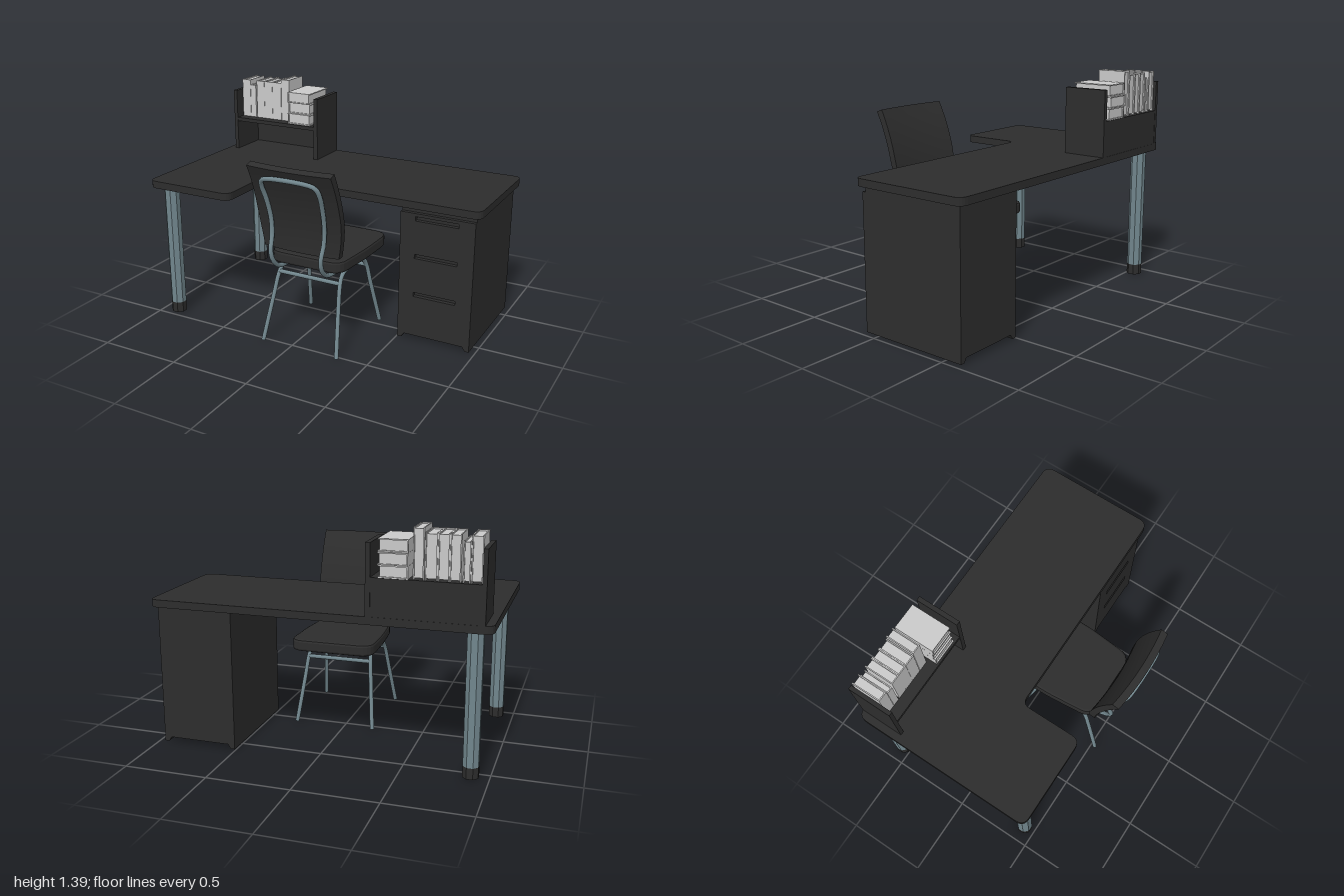
import * as THREE from 'three';

const black = new THREE.MeshStandardMaterial({ color: 0x2d2d2d });
black.name = 'black';
const steel = new THREE.MeshStandardMaterial({ color: 0x71868d, side: THREE.DoubleSide });
steel.name = 'steel';
const paper = new THREE.MeshStandardMaterial({ color: 0xcacaca });
paper.name = 'paper';

function add(parent, name, geometry, material) {
  const mesh = new THREE.Mesh(geometry, material);
  mesh.name = name;
  parent.add(mesh);
  return mesh;
}

// Box given by its lower and upper corners
function box(parent, name, material, [x0, y0, z0], [x1, y1, z1]) {
  const g = new THREE.BoxGeometry(x1 - x0, y1 - y0, z1 - z0);
  g.translate((x0 + x1) / 2, (y0 + y1) / 2, (z0 + z1) / 2);
  return add(parent, name, g, material);
}

// Polygon whose corners [x, y, radius] are rounded
function roundedShape(corners) {
  const shape = new THREE.Shape();
  const n = corners.length;
  corners.forEach(([x, y, r], i) => {
    const c = new THREE.Vector2(x, y);
    const toward = (j) => new THREE.Vector2(corners[j][0], corners[j][1]).sub(c).setLength(r).add(c);
    const a = toward((i + n - 1) % n), b = toward((i + 1) % n);
    if (i === 0) shape.moveTo(a.x, a.y); else shape.lineTo(a.x, a.y);
    shape.quadraticCurveTo(x, y, b.x, b.y);
  });
  shape.closePath();
  return shape;
}

// Horizontal slab from a plan outline in x and z, between two heights
function slab(corners, y0, y1, bevel = 0) {
  const g = new THREE.ExtrudeGeometry(roundedShape(corners), {
    depth: y1 - y0 - 2 * bevel, curveSegments: 5, bevelEnabled: bevel > 0,
    bevelSize: bevel, bevelThickness: bevel, bevelOffset: -bevel, bevelSegments: 2,
  });
  return g.rotateX(Math.PI / 2).translate(0, y1 - bevel, 0);
}

function tube(parent, name, points, radius, segments = 28) {
  const curve = new THREE.CatmullRomCurve3(points.map((p) => new THREE.Vector3(...p)), false, 'centripetal');
  return add(parent, name, new THREE.TubeGeometry(curve, segments, radius, 8), steel);
}

function makeDesk() {
  const desk = new THREE.Group();
  desk.name = 'desk';
  add(desk, 'deskTop', slab([
    [-1, -0.64, 0.055], [1, -0.64, 0.055], [1, 0.115, 0.055],
    [-0.415, 0.115, 0.05], [-0.415, 0.515, 0.055], [-1, 0.515, 0.055],
  ], 0.845, 0.89), black);

  // Octagonal legs with dark feet
  for (const z of [0.43, -0.55]) {
    for (const [name, y0, y1, mat] of [['deskLeg', 0.067, 0.845, steel], ['deskFoot', 0, 0.067, black]]) {
      let g = new THREE.CylinderGeometry(0.048, 0.048, y1 - y0, 8);
      g.rotateY(Math.PI / 8).translate(-0.895, (y0 + y1) / 2, z);
      g = g.toNonIndexed();
      g.computeVertexNormals();
      add(desk, name, g, mat);
    }
  }
  return desk;
}

function makeCabinet() {
  const cabinet = new THREE.Group();
  cabinet.name = 'drawerCabinet';
  const outline = (top) => new THREE.Shape([
    [0.505, 0], [0.53, 0], [0.548, 0.027], [0.922, 0.027], [0.94, 0], [0.965, 0], [0.965, top], [0.505, top],
  ].map((p) => new THREE.Vector2(...p)));

  const body = new THREE.ExtrudeGeometry(outline(0.845), { depth: 0.67, bevelEnabled: false });
  add(cabinet, 'cabinetBody', body.translate(0, 0, -0.605), black);

  // Front with recessed pulls
  const front = outline(0.81);
  for (const y of [0.275, 0.52, 0.755]) {
    front.holes.push(new THREE.Path([
      [0.6, y], [0.6, y + 0.036], [0.865, y + 0.036], [0.865, y],
    ].map((p) => new THREE.Vector2(...p))));
    box(cabinet, 'drawerPull', black, [0.6, y, 0.065], [0.865, y + 0.01, 0.092]);
  }
  const panel = new THREE.ExtrudeGeometry(front, { depth: 0.025, bevelEnabled: false });
  add(cabinet, 'drawerFront', panel.translate(0, 0, 0.065), black);
  return cabinet;
}

function makeBook(w, h, d) {
  // Upright book: spine at the front, pages set back from the covers
  const book = new THREE.Group();
  book.name = 'book';
  const t = 0.007, inset = 0.008;
  box(book, 'cover', paper, [0, 0, 0], [t, h, d]);
  box(book, 'cover', paper, [w - t, 0, 0], [w, h, d]);
  box(book, 'spine', paper, [t, 0, d - t], [w - t, h, d]);
  box(book, 'pages', paper, [t, inset, inset], [w - t, h - inset, d - t]);
  return book;
}

function makeShelf() {
  const shelf = new THREE.Group();
  shelf.name = 'bookShelf';
  box(shelf, 'shelfSide', black, [-0.955, 0.89, -0.64], [-0.93, 1.295, -0.365]);
  box(shelf, 'shelfSide', black, [-0.333, 0.89, -0.64], [-0.305, 1.295, -0.365]);
  box(shelf, 'shelfBoard', black, [-0.93, 1.083, -0.635], [-0.333, 1.107, -0.368]);
  box(shelf, 'shelfBack', black, [-0.93, 0.89, -0.638], [-0.333, 1.107, -0.615]);

  // Standing books: left edge, width, height
  for (const [x, w, h] of [
    [-0.929, 0.062, 0.253], [-0.865, 0.041, 0.22], [-0.815, 0.06, 0.253],
    [-0.754, 0.062, 0.253], [-0.691, 0.068, 0.253], [-0.62, 0.06, 0.278],
  ]) {
    const book = makeBook(w, h, 0.183);
    book.position.set(x, 1.107, -0.62);
    shelf.add(book);
  }
  // Lying books, spines toward -x
  [[0, -0.635], [0.071, -0.645], [0.142, -0.635]].forEach(([y, z]) => {
    const book = makeBook(0.07, 0.255, 0.165);
    // Local axes: width up, height along z, depth toward -x
    book.matrix.makeBasis(
      new THREE.Vector3(0, 1, 0), new THREE.Vector3(0, 0, 1), new THREE.Vector3(1, 0, 0));
    book.matrix.decompose(book.position, book.quaternion, book.scale);
    book.rotateY(0);
    const holder = new THREE.Group();
    holder.name = 'lyingBook';
    holder.add(book);
    // Half turn about the vertical puts the spine on the other side
    holder.rotation.y = Math.PI;
    holder.position.set(-0.373, 1.107 + y, z + 0.255);
    shelf.add(holder);
  });
  return shelf;
}

function makeChair() {
  const chair = new THREE.Group();
  chair.name = 'chair';
  chair.position.x = 0.063;

  add(chair, 'seat', slab([
    [-0.265, -0.14, 0.09], [0.265, -0.14, 0.09], [0.262, 0.15, 0.05],
    [0.235, 0.455, 0.08], [-0.235, 0.455, 0.08], [-0.262, 0.15, 0.05],
  ], 0.495, 0.568, 0.015), black);

  // Backrest: a box bent back toward the top and wrapped around the sitter
  const g = new THREE.BoxGeometry(2, 1, 0.042, 8, 10, 1);
  const p = g.attributes.position;
  for (let i = 0; i < p.count; i++) {
    const u = p.getX(i), t = p.getY(i) + 0.5, s = p.getZ(i);
    const half = 0.245 + 0.027 * Math.sin(Math.min(1, t * 2) * Math.PI / 2) - 0.005 * t * t;
    p.setXYZ(i, u * half, 0.61 + 0.525 * t - 0.35 * s * t, 0.485 + 0.137 * t * t + s - 0.02 * u * u);
  }
  g.computeVertexNormals();
  add(chair, 'backrest', g, black);

  // Back hoop: one side listed from under the seat upward, then mirrored
  const side = [
    [0.16, 0.475, 0.2], [0.16, 0.476, 0.4], [0.16, 0.493, 0.48], [0.162, 0.545, 0.535],
    [0.165, 0.61, 0.552], [0.17, 0.7, 0.525], [0.174, 0.8, 0.525], [0.18, 0.92, 0.558],
    [0.184, 1.01, 0.598], [0.172, 1.054, 0.62], [0.135, 1.07, 0.63],
  ];
  const mirrored = side.map(([x, y, z]) => [-x, y, z]).reverse();
  tube(chair, 'backHoop', [...side, ...mirrored], 0.014, 80);

  // Side frames: rear leg, rail and front leg in one bent tube
  for (const m of [-1, 1]) {
    tube(chair, 'legFrame', [
      [m * 0.25, 0, 0.525], [m * 0.217, 0.3, 0.435], [m * 0.207, 0.4, 0.402], [m * 0.2, 0.45, 0.365],
      [m * 0.197, 0.474, 0.3], [m * 0.197, 0.474, 0.13], [m * 0.2, 0.45, 0.075],
      [m * 0.207, 0.4, 0.045], [m * 0.217, 0.3, 0.02], [m * 0.25, 0, -0.06],
    ], 0.0135, 48);
  }
  tube(chair, 'rearCrossbar', [[-0.205, 0.415, 0.395], [0.205, 0.415, 0.395]], 0.0135, 1);
  tube(chair, 'frontCrossbar', [[-0.205, 0.41, 0.05], [0.205, 0.41, 0.05]], 0.0135, 1);
  return chair;
}

export function createModel() {
  const model = new THREE.Group();
  model.name = 'deskWithChair';
  model.add(makeDesk(), makeCabinet(), makeShelf(), makeChair());
  return model;
}
